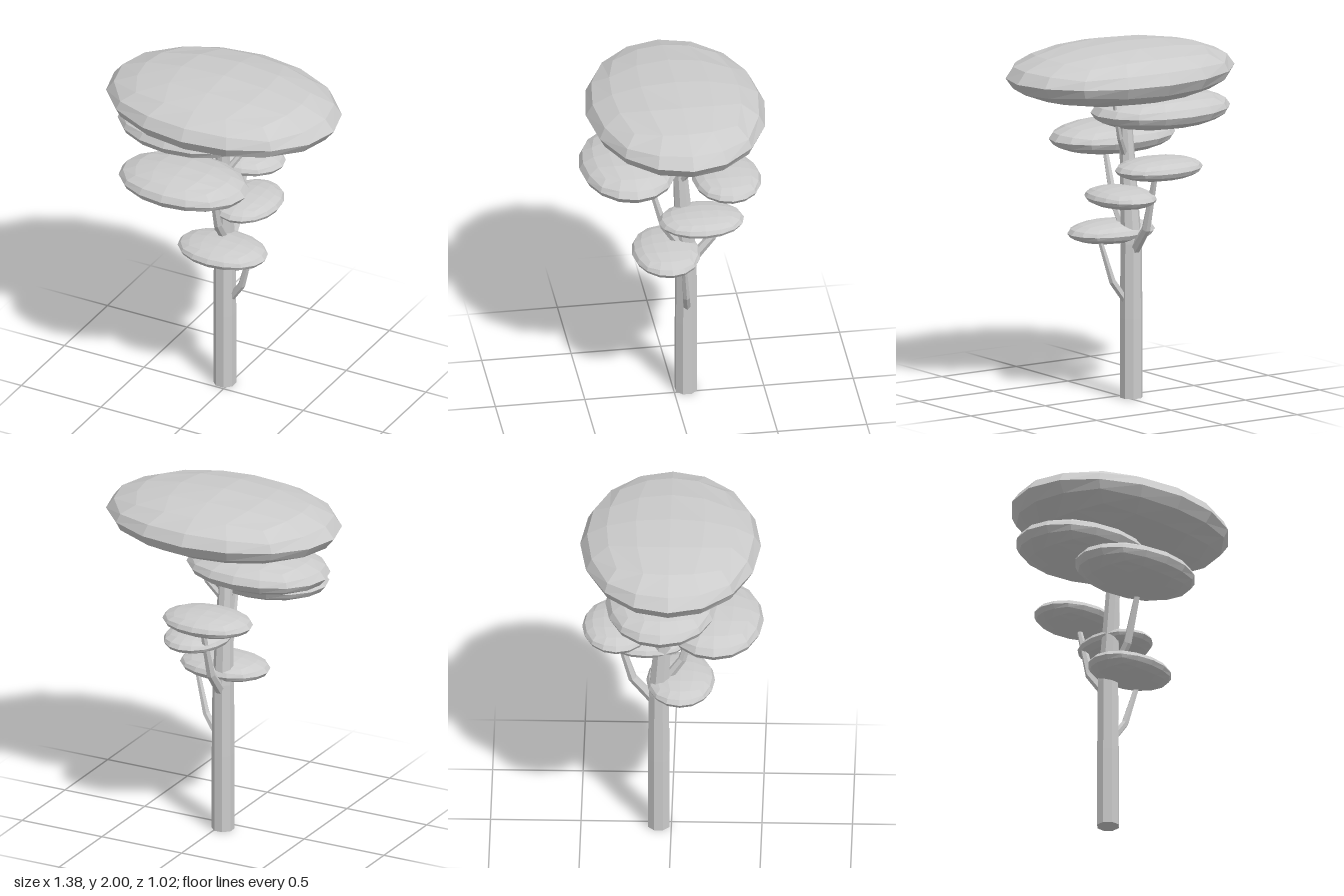
import * as THREE from 'three';

const material = new THREE.MeshStandardMaterial({ color: 0xcccccc, flatShading: true });

// Faceted ellipsoid: a subdivided cube pushed out to a sphere, then scaled
function foliage(name, [x, y, z], [rx, ry, rz]) {
  const geometry = new THREE.BoxGeometry(2, 2, 2, 4, 4, 4);
  const p = geometry.attributes.position;
  const v = new THREE.Vector3();
  const spread = (t) => Math.tan(t * Math.PI / 4);
  for (let i = 0; i < p.count; i++) {
    v.fromBufferAttribute(p, i);
    v.set(spread(v.x), spread(v.y), spread(v.z)).normalize();
    p.setXYZ(i, v.x * rx, v.y * ry, v.z * rz);
  }
  geometry.computeVertexNormals();
  const mesh = new THREE.Mesh(geometry, material);
  mesh.name = name;
  mesh.position.set(x, y, z);
  return mesh;
}

// Tapered limb: cylinder rings moved onto path points [x, y, z, radius]
function limb(name, path, sides) {
  const rows = path.length - 1;
  const geometry = new THREE.CylinderGeometry(1, 1, 1, sides, rows, false, Math.PI / sides);
  const points = path.map((q) => new THREE.Vector3(q[0], q[1], q[2]));
  const up = new THREE.Vector3(0, 1, 0);
  const turns = points.map((_, i) => {
    const along = points[Math.min(i + 1, rows)].clone().sub(points[Math.max(i - 1, 0)]).normalize();
    return new THREE.Quaternion().setFromUnitVectors(up, along);
  });
  const p = geometry.attributes.position;
  const v = new THREE.Vector3();
  for (let i = 0; i < p.count; i++) {
    v.fromBufferAttribute(p, i);
    const row = Math.round((v.y + 0.5) * rows);
    v.y = 0;
    v.multiplyScalar(path[row][3]).applyQuaternion(turns[row]).add(points[row]);
    p.setXYZ(i, v.x, v.y, v.z);
  }
  geometry.computeVertexNormals();
  const mesh = new THREE.Mesh(geometry, material);
  mesh.name = name;
  return mesh;
}

export function createModel() {
  const tree = new THREE.Group();
  tree.name = 'tree';

  // Trunk: straight below, leaning slightly forward and thinning above
  tree.add(limb('trunk', [
    [-0.03, 0, -0.07, 0.064], [-0.03, 0.45, -0.07, 0.064], [-0.03, 0.87, -0.07, 0.06],
    [-0.025, 1.35, -0.04, 0.043], [-0.02, 1.72, -0.02, 0.03],
  ], 8));

  // Branches, from lowest to highest
  const branches = {
    leftBranch: [[0, 0.54, -0.07, 0.022], [0.085, 0.66, -0.055, 0.021], [0.16, 0.92, -0.03, 0.014]],
    backBranch: [[-0.03, 0.82, -0.09, 0.03], [-0.03, 0.97, -0.215, 0.026], [-0.025, 1.32, -0.32, 0.014]],
    frontBranch: [[-0.01, 0.95, -0.03, 0.027], [-0.005, 1.08, 0.06, 0.024], [0, 1.4, 0.15, 0.015]],
    topBranch: [[-0.01, 1.36, -0.04, 0.02], [0.06, 1.47, -0.09, 0.017], [0.13, 1.7, -0.13, 0.01]],
  };
  for (const [name, path] of Object.entries(branches)) tree.add(limb(name, path, 6));

  // Flattened foliage pads: centre, radii
  const pads = {
    crownFoliage: [[0, 1.83, -0.005], [0.69, 0.17, 0.5]],
    rightFoliage: [[-0.24, 1.6, -0.05], [0.42, 0.105, 0.31]],
    frontFoliage: [[-0.118, 1.418, 0.243], [0.383, 0.095, 0.27]],
    backFoliage: [[-0.056, 1.325, -0.3], [0.265, 0.065, 0.192]],
    middleFoliage: [[0.088, 1.152, -0.138], [0.18, 0.059, 0.238]],
    lowFoliage: [[0.022, 0.924, 0.05], [0.265, 0.065, 0.19]],
  };
  for (const [name, [centre, radii]] of Object.entries(pads)) tree.add(foliage(name, centre, radii));

  return tree;
}
